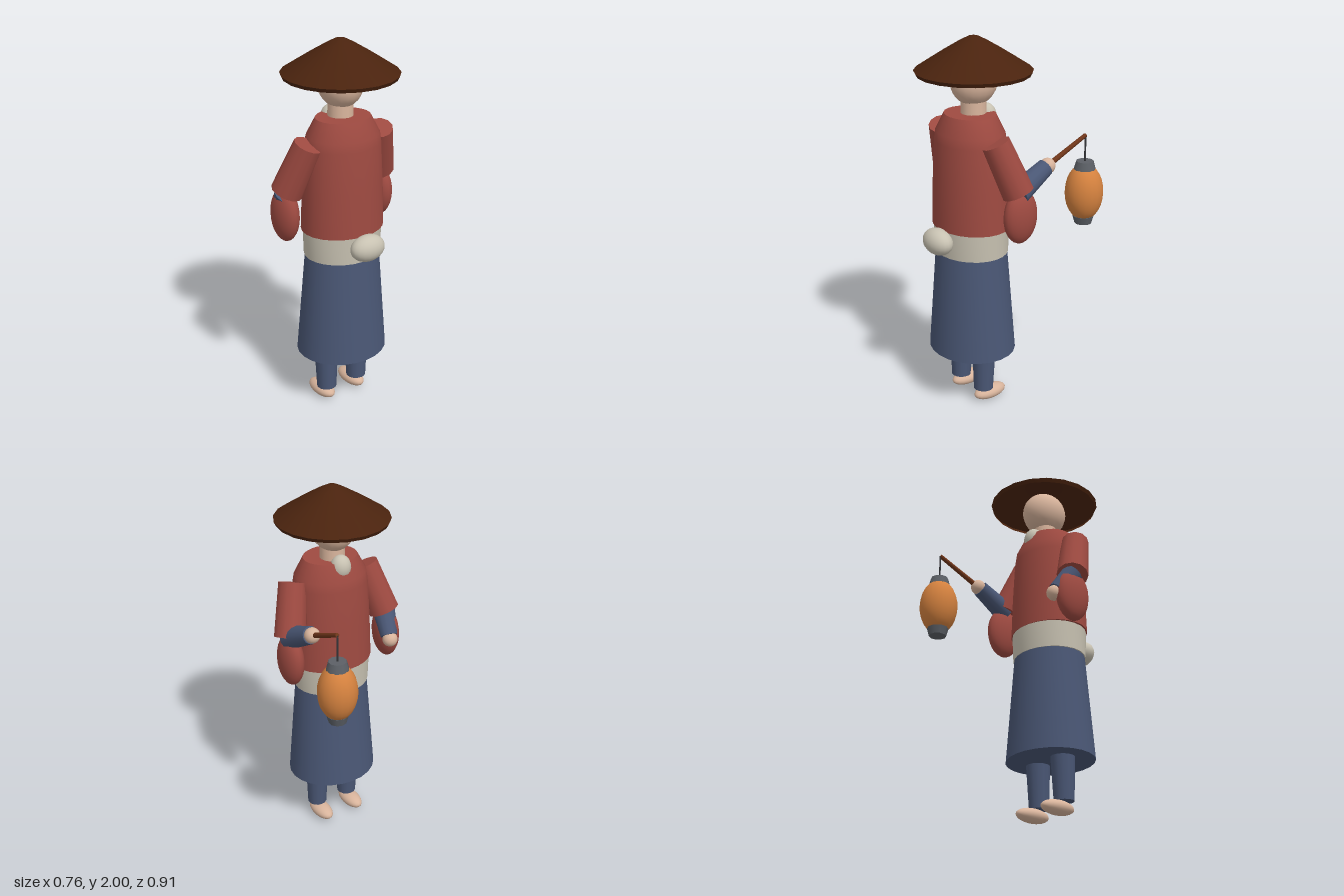
import * as THREE from 'three';
import { toCreasedNormals } from 'three/addons/utils/BufferGeometryUtils.js';

const mat = (name, color, side = THREE.FrontSide) => {
  const m = new THREE.MeshStandardMaterial({ color, side });
  m.name = name;
  return m;
};

export function createModel() {
  const straw = mat('dark straw', 0x4a230e, THREE.DoubleSide);
  const red = mat('red cloth', 0x9e4a41);
  const blue = mat('indigo cloth', 0x4a5775);
  const skin = mat('skin', 0xd8b49c);
  const linen = mat('pale linen', 0xc8c2b2);
  const orange = mat('lantern paper', 0xd5823f);
  const grey = mat('grey metal', 0x5c6066);
  const cord = mat('dark cord', 0x35363a);
  const wood = mat('wood', 0x70361a);

  const model = new THREE.Group();
  model.name = 'lanternBearer';
  const CX = -0.01; // the body's own centre line

  const add = (name, geometry, material, x = 0, y = 0, z = 0) => {
    const m = new THREE.Mesh(geometry, material);
    m.name = name;
    m.position.set(x, y, z);
    model.add(m);
    return m;
  };
  const ball = (name, material, [x, y, z], [rx, ry, rz]) =>
    add(name, new THREE.SphereGeometry(1, 20, 14).scale(rx, ry, rz), material, x, y, z);
  const turned = (name, material, points, x, z, depth = 1, segments = 24) => {
    const g = new THREE.LatheGeometry(points.map(p => new THREE.Vector2(...p)), segments);
    return add(name, toCreasedNormals(g.scale(1, 1, depth), 0.7), material, x, 0, z);
  };
  // tapered rod from point a to point b
  const rod = (name, material, a, b, ra, rb, segments = 14) => {
    const A = new THREE.Vector3(...a), B = new THREE.Vector3(...b);
    const dir = B.clone().sub(A);
    const m = add(name, new THREE.CylinderGeometry(rb, ra, dir.length(), segments), material);
    m.position.copy(A).add(B).multiplyScalar(0.5);
    m.quaternion.setFromUnitVectors(new THREE.Vector3(0, 1, 0), dir.normalize());
    return m;
  };

  // Hat: hollow, slightly bulging cone with a turned-in rim
  turned('hat', straw, [[0.29, 1.808], [0.3, 1.828], [0.22, 1.88], [0.15, 1.925],
    [0.07, 1.973], [0.025, 1.996], [0, 2]], CX, 0.15, 1, 20);

  // Head, neck and beard
  ball('head', skin, [CX, 1.772, 0.15], [0.112, 0.123, 0.126]);
  rod('neck', skin, [CX, 1.56, 0.153], [CX, 1.7, 0.153], 0.068, 0.064, 16);
  ball('beard', linen, [CX, 1.58, 0.073], [0.055, 0.066, 0.053]);

  // Jacket, sash and skirt
  turned('jacket', red, [[0, 1.02], [0.226, 1.02], [0.218, 1.25], [0.205, 1.47],
    [0.197, 1.52], [0.148, 1.61], [0, 1.61]], CX, 0.175, 0.84);
  turned('sash', linen, [[0, 0.875], [0.208, 0.875], [0.214, 1.025], [0, 1.025]], CX, 0.175, 0.88);
  ball('sashKnot', linen, [CX, 0.967, 0.39], [0.098, 0.07, 0.066]);
  turned('skirt', blue, [[0, 0.31], [0.247, 0.31], [0.2, 0.89], [0, 0.89]], CX, 0.175, 0.9);

  for (const s of [1, -1]) {
    const side = s > 0 ? 'left' : 'right';
    const X = x => CX + s * x;

    // Trouser leg and foot
    rod(side + 'Leg', blue, [X(0.1), 0.08, 0.178], [X(0.1), 0.36, 0.172], 0.053, 0.066);
    ball(side + 'Foot', skin, [X(0.1), 0.042, 0.134], [0.05, 0.038, 0.1]);

    // Upper sleeve and its hanging pouch
    const elbow = [X(0.292), 1.247, 0.1];
    rod(side + 'Sleeve', red, [X(0.22), 1.505, 0.186], elbow, 0.074, 0.084, 12);
    ball(side + 'SleevePouch', red, [X(0.298), 1.122, 0.09], [0.06, 0.144, 0.1]);

    // Forearm and hand: the left one raised forward, the right one lowered
    const hand = s > 0 ? [0.27, 1.345, -0.102] : [-0.274, 1.12, -0.004];
    const wrist = s > 0 ? [0.27, 1.34, -0.088] : [-0.277, 1.135, 0.01];
    rod(side + 'Forearm', blue, elbow, wrist, 0.062, 0.046);
    ball(side + 'Hand', skin, hand, [0.041, 0.041, 0.041]);
  }

  // Lantern hanging from a pole
  const LX = 0.28, LZ = -0.353;
  rod('pole', wood, [0.27, 1.335, -0.08], [LX, 1.462, LZ], 0.015, 0.011, 8);
  rod('cord', cord, [LX, 1.3, LZ], [LX, 1.46, LZ], 0.005, 0.005, 6);
  ball('lanternBody', orange, [LX, 1.15, LZ], [0.102, 0.155, 0.102]);
  rod('lanternTopCap', grey, [LX, 1.278, LZ], [LX, 1.322, LZ], 0.058, 0.046, 10);
  rod('lanternBottomCap', grey, [LX, 0.977, LZ], [LX, 1.02, LZ], 0.046, 0.058, 10);

  return model;
}
